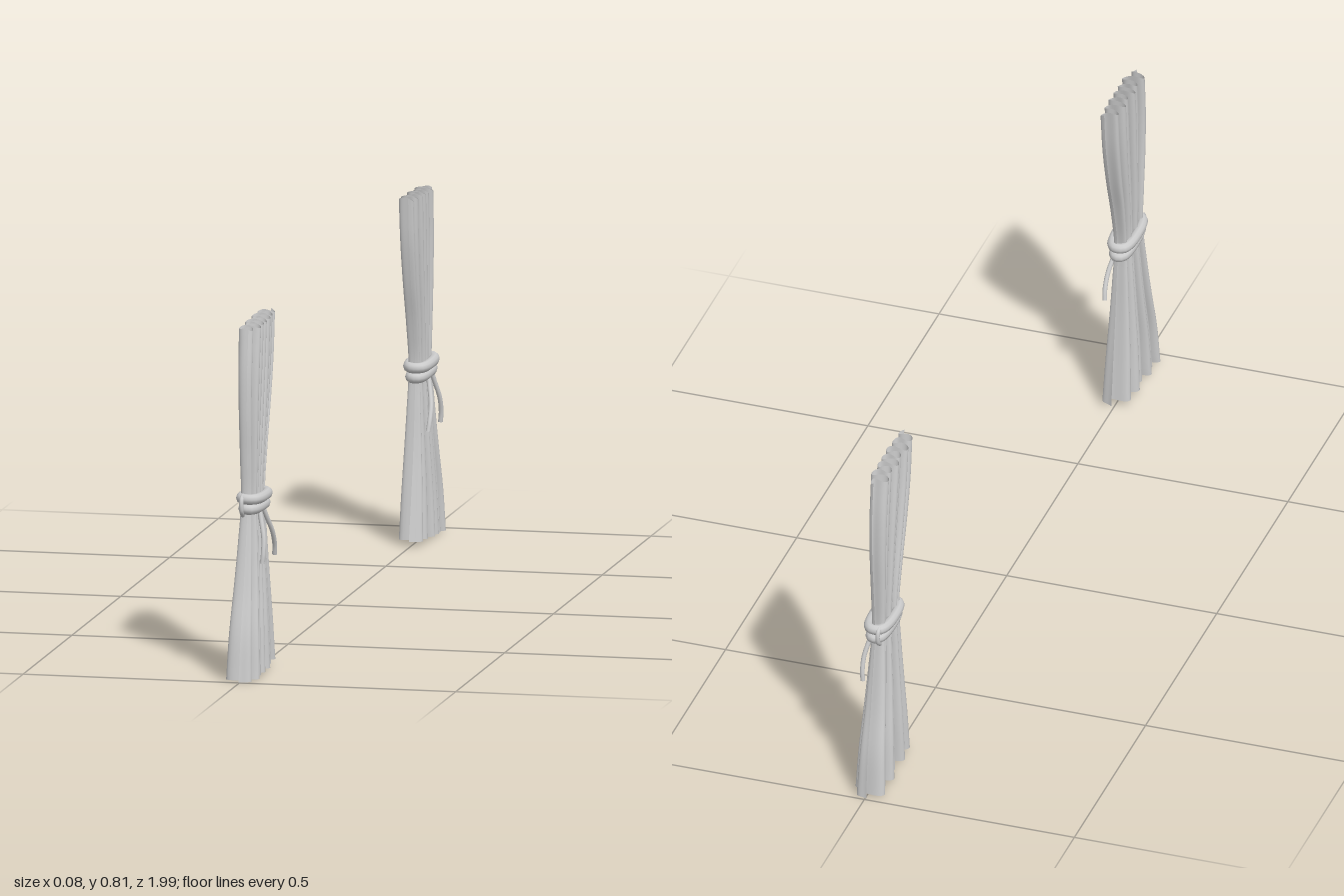
import * as THREE from 'three';

const cloth = new THREE.MeshStandardMaterial({ color: 0xcccccc, side: THREE.DoubleSide });
cloth.name = 'grey cloth';

const HEIGHT = 0.8, FOLDS = 6.5;

// Drape outline at even heights from hem to heading: inner z, outer z, fold depth
const outline = new THREE.CatmullRomCurve3([
  [0.735, 0.995, 0.039], [0.752, 0.982, 0.035], [0.768, 0.958, 0.029],
  [0.78, 0.938, 0.023], [0.787, 0.923, 0.018], [0.767, 0.928, 0.02],
  [0.737, 0.936, 0.022], [0.714, 0.936, 0.024], [0.702, 0.925, 0.025],
].map((p) => new THREE.Vector3(...p)), false, 'catmullrom');

// Gathered sheet whose folds loop back over one another
function drapeGeometry(side) {
  const cols = 156, rows = 36, pos = [], index = [];
  for (let j = 0; j <= rows; j++) {
    const v = j / rows;
    const o = outline.getPoint(v);
    const spread = THREE.MathUtils.lerp(0.8, 1, Math.min(1, v * 2));
    for (let i = 0; i <= cols; i++) {
      const t = i / cols;
      const phase = Math.PI * 2 * FOLDS * t + 0.5 * Math.sin(t * 9 + v * 1.5);
      const depth = o.z * (0.86 + 0.14 * Math.sin(t * 23 + 1));
      const ends = Math.min(1, t * 12, (1 - t) * 12);
      const loop = -0.022 * ends * Math.sin(2 * phase);
      const w = Math.pow(t, spread) + loop;
      const x = depth * Math.sin(phase) * (0.5 + 0.5 * ends);
      const hem = (0.004 + 0.013 * (1 - t)) * (1 - v);
      const heading = 0.006 * Math.pow(v, 10) * (Math.sin(phase * 2 + 1) * 0.6 + (1 - t) * 1.2);
      pos.push(x, HEIGHT * v + hem + heading, side * THREE.MathUtils.lerp(o.x, o.y, w));
      if (i < cols && j < rows) {
        const a = j * (cols + 1) + i, b = a + cols + 1;
        if (side > 0) index.push(a, b, a + 1, a + 1, b, b + 1);
        else index.push(a, a + 1, b, a + 1, b + 1, b);
      }
    }
  }
  const g = new THREE.BufferGeometry();
  g.setAttribute('position', new THREE.Float32BufferAttribute(pos, 3));
  g.setIndex(index);
  g.computeVertexNormals();
  return g;
}

function tube(name, points, radius, closed, side) {
  const curve = new THREE.CatmullRomCurve3(
    points.map(([x, y, z]) => new THREE.Vector3(x, y, side * z)), closed);
  const mesh = new THREE.Mesh(new THREE.TubeGeometry(curve, 48, radius, 10, closed), cloth);
  mesh.name = name;
  return mesh;
}

// Flattened cord loop around the gathered waist
function tieLoop(name, y, halfX, offsetX, side) {
  const points = [];
  for (let i = 0; i < 20; i++) {
    const a = (i / 20) * Math.PI * 2, c = Math.cos(a), s = Math.sin(a);
    points.push([
      offsetX + halfX * Math.sign(c) * Math.pow(Math.abs(c), 0.7),
      y + 0.002 * s,
      0.855 + 0.069 * Math.sign(s) * Math.pow(Math.abs(s), 0.8),
    ]);
  }
  return tube(name, points, 0.012, true, side);
}

function curtain(name, side) {
  const g = new THREE.Group();
  g.name = name;
  const drape = new THREE.Mesh(drapeGeometry(side), cloth);
  drape.name = 'drape';
  g.add(drape);
  g.add(tieLoop('upperTie', 0.409, 0.023, 0.002, side));
  g.add(tieLoop('lowerTie', 0.386, 0.017, 0.002, side));
  // Narrow strand wrapped over both ties at the outer end
  g.add(tube('tieStrand', [
    [-0.01, 0.419, 0.92], [-0.01, 0.41, 0.934], [-0.01, 0.386, 0.934], [-0.01, 0.373, 0.92],
  ], 0.005, false, side));
  // Loose cord ends hanging from the tie
  g.add(tube('outerCordEnd', [
    [0.019, 0.385, 0.88], [0.025, 0.36, 0.888], [0.034, 0.32, 0.902], [0.035, 0.285, 0.911], [0.033, 0.263, 0.913],
  ], 0.0055, false, side));
  g.add(tube('innerCordEnd', [
    [0.019, 0.385, 0.846], [0.025, 0.36, 0.836], [0.034, 0.32, 0.812], [0.035, 0.285, 0.793], [0.033, 0.263, 0.786],
  ], 0.0055, false, side));
  return g;
}

export function createModel() {
  const model = new THREE.Group();
  model.name = 'curtains';
  model.add(curtain('frontCurtain', 1), curtain('backCurtain', -1));
  return model;
}
